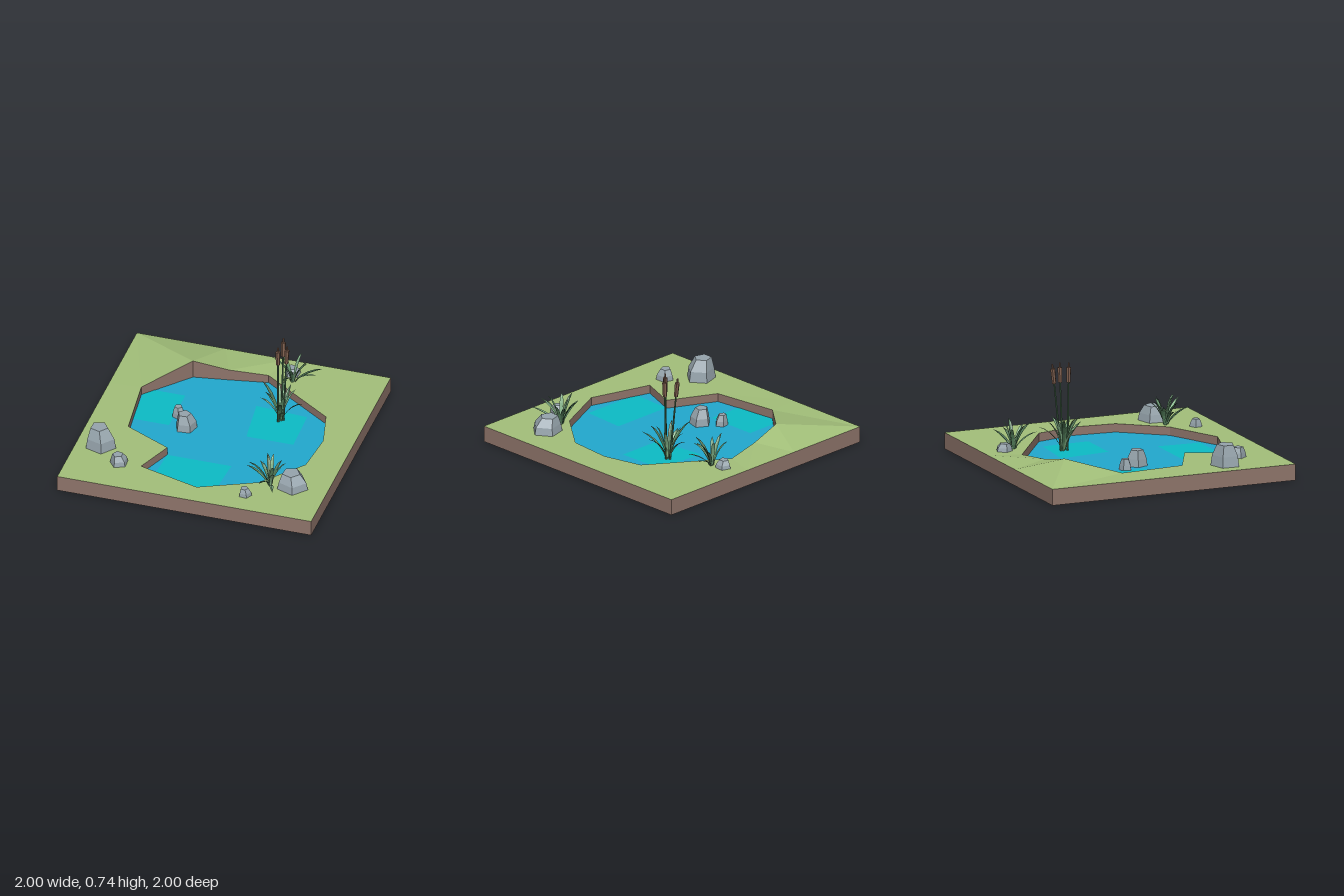
import * as THREE from 'three';

const GROUND = 0.125, WATER = 0.06;
const mat = (color, side = THREE.FrontSide) =>
  new THREE.MeshStandardMaterial({ color, side, flatShading: true });
const grassMat = mat(0xa3c07a), soilMat = mat(0x8f756b), rockMat = mat(0x97a5ad);
const waterMat = mat(0x22a9cf), shallowMat = mat(0x0cbcc6);
const stemMat = mat(0x4b7352), headMat = mat(0x80604f);
const leafMats = [mat(0x5f8f67, THREE.DoubleSide), mat(0x4b7352, THREE.DoubleSide), mat(0x83b388, THREE.DoubleSide)];

// Pond rim as [x, z, height], and the point of the square edge each rim point joins
const rim = [
  [-0.45, -0.655, 0.207], [-0.18, -0.7, 0.15], [0.115, -0.755], [0.69, -0.36],
  [0.765, -0.05], [0.735, 0.29], [0.47, 0.62], [0.04, 0.82],
  [-0.44, 0.68], [-0.325, 0.385], [-0.69, 0.205], [-0.75, -0.315, 0.13],
];
const edge = [
  [-1, -1], [-0.3, -1], [0.2, -1], [1, -1], [1, -0.1], [1, 0.3],
  [1, 1], [0.1, 1], [-0.5, 1], [-1, 1], [-1, 0.2], [-1, -0.3],
];

function add(parent, name, geometry, material) {
  const mesh = new THREE.Mesh(geometry, material);
  mesh.name = name;
  parent.add(mesh);
  return mesh;
}

// Geometry from a list of quads, each given by four corners
function quads(list) {
  const pos = [];
  for (const [a, b, c, d] of list) pos.push(...a, ...b, ...c, ...a, ...c, ...d);
  const g = new THREE.BufferGeometry();
  g.setAttribute('position', new THREE.Float32BufferAttribute(pos, 3));
  g.computeVertexNormals();
  return g;
}

// Flat horizontal polygon from [x, z] points
function flat(points, y) {
  const shape = new THREE.Shape(points.map(([x, z]) => new THREE.Vector2(x, -z)));
  return new THREE.ShapeGeometry(shape).rotateX(-Math.PI / 2).translate(0, y, 0);
}

function addTerrain(root) {
  const top = [], skirt = [], bank = [];
  const at = ([x, z, h = GROUND], y = h) => [x, y, z];
  rim.forEach((p, i) => {
    const j = (i + 1) % rim.length, q = rim[j], o = edge[i], r = edge[j];
    top.push([at(p), at(q), at(r), at(o)]);
    skirt.push([at(o), at(r), at(r, 0), at(o, 0)]);
    bank.push([at(q), at(p), at(p, WATER), at(q, WATER)]);
  });
  add(root, 'grassGround', quads(top), grassMat);
  add(root, 'soilSides', quads(skirt), soilMat);
  add(root, 'pondBank', quads(bank), soilMat);
  add(root, 'soilBottom', new THREE.PlaneGeometry(2, 2).rotateX(Math.PI / 2), soilMat);
}

function addWater(root) {
  add(root, 'water', flat(rim, WATER), waterMat);
  const patches = [
    [[-0.74, -0.325], [-0.68, -0.4], [-0.43, -0.4], [-0.43, 0.01], [-0.715, 0.01]],
    [[0.12, -0.43], [0.53, -0.4], [0.54, -0.02], [0.17, -0.02]],
    [[-0.325, 0.39], [0.18, 0.39], [0.16, 0.73], [-0.265, 0.73], [-0.34, 0.705]],
  ];
  for (const p of patches) add(root, 'shallowWater', flat(p, WATER + 0.002), shallowMat);
}

// Five-sided tapering boulder with a slightly shifted top
function addRock(root, x, z, r, base, top, turn) {
  const g = new THREE.CylinderGeometry(0.58, 1, 1, 5, 2);
  const p = g.attributes.position;
  for (let i = 0; i < p.count; i++) {
    const y = p.getY(i);
    const k = Math.abs(y) < 0.01 ? 1.13 : 1;
    const shift = y > 0.4 ? -0.1 : 0;
    p.setXYZ(i, p.getX(i) * k + shift, y + 0.5, p.getZ(i) * k + shift);
  }
  const rock = add(root, 'rock', g, rockMat);
  rock.scale.set(r, top - base, r * 0.95);
  rock.position.set(x, base, z);
  rock.rotation.y = turn;
}

// Leaf blade arching from the origin to a tip; its cross-section is a shallow V
function blade(dx, dz, h) {
  const reach = Math.hypot(dx, dz), ux = dx / reach, uz = dz / reach;
  const steps = 5, rows = [], list = [];
  for (let i = 0; i <= steps; i++) {
    const t = i / steps;
    const d = reach * (0.08 + 0.92 * t ** 1.5);
    const y = h * (1.25 * t - 0.25 * t ** 3);
    const w = 0.013 * (0.45 + 1.6 * t) * (1 - t ** 3);
    const point = (s, lift) => [ux * d - uz * w * s, y + lift * w, uz * d + ux * w * s];
    rows.push([point(-1, 0.4), point(0, 0), point(1, 0.4)]);
  }
  for (let i = 0; i < steps; i++)
    for (let s = 0; s < 2; s++)
      list.push([rows[i][s], rows[i][s + 1], rows[i + 1][s + 1], rows[i + 1][s]]);
  return quads(list);
}

function addTuft(root, name, x, y, z, tips) {
  const tuft = new THREE.Group();
  tuft.name = name;
  tuft.position.set(x, y, z);
  tips.forEach((tip, i) => add(tuft, 'leafBlade', blade(...tip), leafMats[i % 3]));
  root.add(tuft);
}

// Cattail leaning from its foot to its tip
function addCattail(root, foot, tip) {
  const a = new THREE.Vector3(...foot), b = new THREE.Vector3(...tip);
  const length = a.distanceTo(b);
  const cattail = new THREE.Group();
  cattail.name = 'cattail';
  cattail.position.copy(a);
  cattail.quaternion.setFromUnitVectors(new THREE.Vector3(0, 1, 0), b.sub(a).normalize());
  const rod = (name, rTop, rBottom, from, to, material) =>
    add(cattail, name, new THREE.CylinderGeometry(rTop, rBottom, to - from, 6), material)
      .position.y = (from + to) / 2;
  rod('stem', 0.006, 0.009, 0, length - 0.14, stemMat);
  rod('seedHead', 0.019, 0.016, length - 0.15, length - 0.035, headMat);
  rod('spike', 0.007, 0.007, length - 0.035, length, headMat);
  root.add(cattail);
}

export function createModel() {
  const root = new THREE.Group();
  root.name = 'pond';
  addTerrain(root);
  addWater(root);

  // Rocks: x, z, radius, base, top, turn
  const rocks = [
    [-0.81, 0.51, 0.12, 0.12, 0.29, 0.3], [-0.61, 0.69, 0.073, 0.12, 0.205, 1.0],
    [-0.3, 0.0, 0.088, 0.05, 0.185, 0.7], [-0.395, -0.13, 0.053, 0.05, 0.145, 0.2],
    [0.73, 0.6, 0.123, 0.12, 0.245, 0.25], [0.42, 0.81, 0.052, 0.12, 0.185, 0.5],
    [0.28, -0.83, 0.066, 0.12, 0.185, 0.9],
  ];
  for (const r of rocks) addRock(root, ...r);

  // Leaf tufts, with blade tips as [dx, dz, height]
  addTuft(root, 'pondReeds', 0.35, WATER, -0.31, [
    [0.02, -0.2, 0.2], [-0.17, -0.07, 0.28], [-0.15, 0.04, 0.2], [0.09, 0.19, 0.19],
    [0.18, 0.03, 0.2], [-0.05, -0.1, 0.28], [0.05, 0.08, 0.26], [-0.1, 0.06, 0.27],
    [0.1, -0.06, 0.26], [-0.13, -0.02, 0.22], [0.04, 0.15, 0.24], [-0.02, -0.15, 0.25],
  ]);
  addTuft(root, 'backTuft', 0.31, GROUND - 0.01, -0.74, [
    [-0.14, 0.04, 0.22], [0.22, -0.07, 0.12], [0.21, 0.06, 0.14], [-0.02, 0.19, 0.13],
    [0.02, 0.16, 0.2], [0.05, -0.07, 0.23], [-0.1, -0.06, 0.19], [0.13, 0.02, 0.22],
    [0.08, 0.12, 0.18], [-0.07, 0.07, 0.2], [0.1, -0.04, 0.16],
  ]);
  addTuft(root, 'frontTuft', 0.56, GROUND - 0.01, 0.62, [
    [-0.19, 0.0, 0.15], [-0.06, -0.12, 0.21], [0.09, 0.24, 0.11], [0.11, -0.04, 0.2],
    [-0.03, 0.2, 0.14], [0.0, -0.08, 0.24], [0.05, 0.09, 0.23], [-0.16, 0.04, 0.21],
    [0.07, 0.15, 0.2], [-0.1, -0.06, 0.17], [0.06, -0.1, 0.18], [-0.05, 0.04, 0.24],
  ]);

  addCattail(root, [0.34, WATER, -0.28], [0.34, 0.738, -0.27]);
  addCattail(root, [0.37, WATER, -0.31], [0.397, 0.73, -0.32]);
  addCattail(root, [0.35, WATER, -0.33], [0.342, 0.738, -0.405]);
  return root;
}
